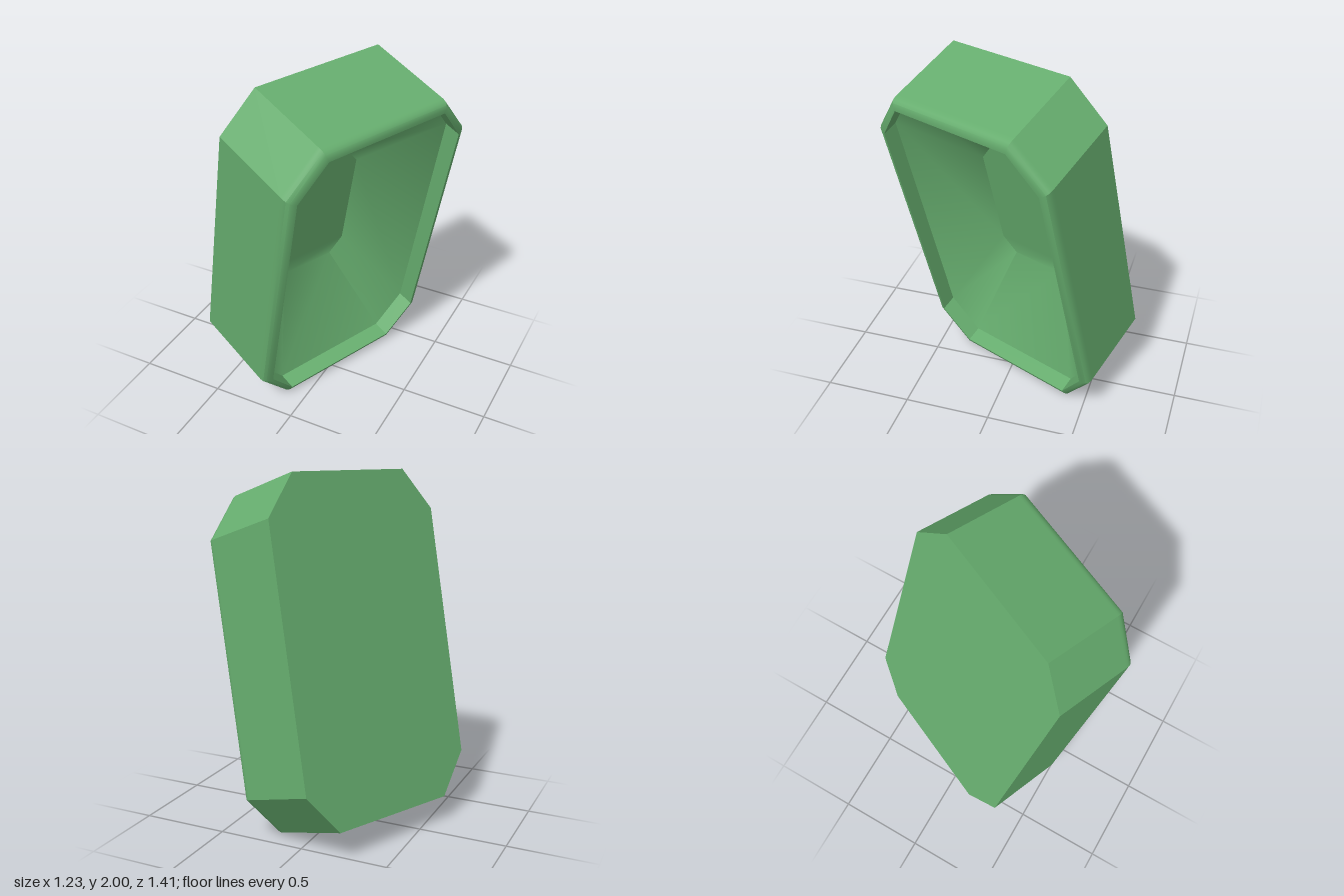
import * as THREE from 'three';
import { toCreasedNormals } from 'three/addons/utils/BufferGeometryUtils.js';

// Leaning frame: width, length and depth directions, starting at the centre of the back
const WIDTH = new THREE.Vector3(0.406, 0.025, -0.914);
const LENGTH = new THREE.Vector3(0.204, 0.971, 0.127);
const DEPTH = new THREE.Vector3(0.47, -0.165, 0.17);
const BACK = new THREE.Vector3(-0.235, 1.077, -0.085);

// Long octagon with cut corners, counter-clockwise, at depth d (0 = back, 1 = rim)
function octagon(d, inset = 0, scale = 1) {
  const w = (0.585 - inset) * scale;
  const l = (0.94 - inset) * scale;
  const cw = (0.19 - 0.586 * inset) * scale;
  const cl = (0.23 - 0.586 * inset) * scale;
  return [
    [w, cl - l], [w, l - cl], [w - cw, l], [cw - w, l],
    [-w, l - cl], [-w, cl - l], [cw - w, -l], [w - cw, -l],
  ].map(([u, v]) => BACK.clone()
    .addScaledVector(WIDTH, u)
    .addScaledVector(LENGTH, v)
    .addScaledVector(DEPTH, d));
}

// Skin a run of octagons, closing the first or last one
function loft(rings, capFirst, capLast) {
  const index = [];
  const n = 8;
  for (let r = 0; r < rings.length - 1; r++) {
    for (let k = 0; k < n; k++) {
      const a = r * n + k;
      const b = r * n + (k + 1) % n;
      index.push(a, b, b + n, a, b + n, a + n);
    }
  }
  const last = (rings.length - 1) * n;
  for (let k = 1; k < n - 1; k++) {
    if (capFirst) index.push(0, k + 1, k);
    if (capLast) index.push(last, last + k, last + k + 1);
  }
  const geometry = new THREE.BufferGeometry().setFromPoints(rings.flat());
  geometry.setIndex(index);
  return toCreasedNormals(geometry, 0.55);
}

export function createModel() {
  const group = new THREE.Group();
  group.name = 'leaningTray';
  const material = new THREE.MeshStandardMaterial({ color: 0x66ad6e });

  const add = (name, geometry) => {
    const mesh = new THREE.Mesh(geometry, material);
    mesh.name = name;
    group.add(mesh);
  };

  // Flat back, straight walls and rounded outer edge of the rim
  const shell = [octagon(0), octagon(0.9)];
  const steps = 4;
  for (let i = 0; i <= steps; i++) {
    const a = (i / steps) * Math.PI / 2;
    shell.push(octagon(0.93 + 0.09 * Math.sin(a), 0.05 * (1 - Math.cos(a))));
  }
  add('outerShell', loft(shell, true, false));

  // Short straight lip, then walls narrowing to a small floor
  add('cavity', loft([
    octagon(1.02, 0.05),
    octagon(0.84, 0.05),
    octagon(0.25, 0, 0.43),
  ], false, true));

  return group;
}
